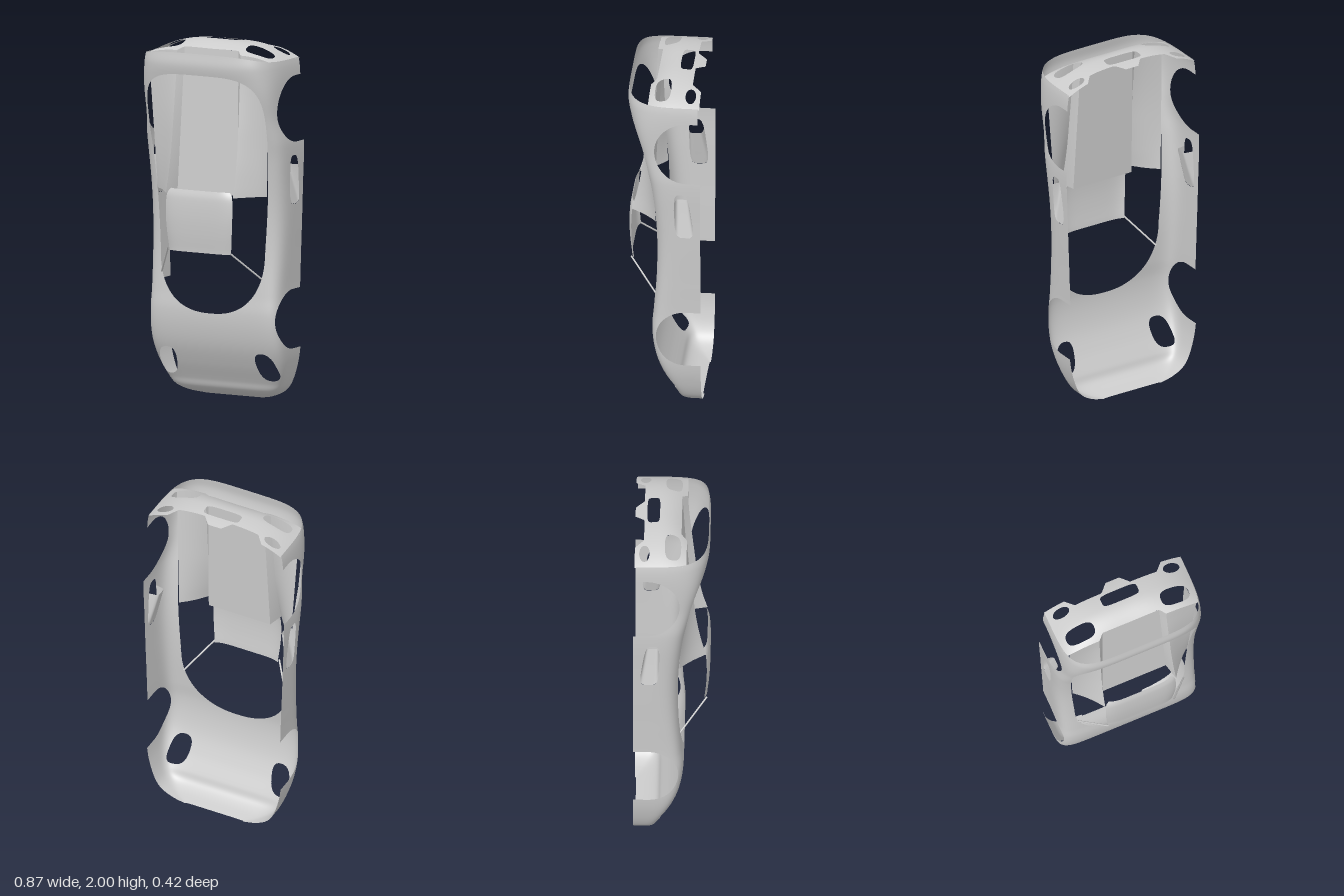
import * as THREE from 'three';
import { mergeVertices } from 'three/addons/utils/BufferGeometryUtils.js';

const material = new THREE.MeshStandardMaterial({ color: 0xcccccc, side: THREE.DoubleSide });

// Smooth curve through [position, value] pairs
function curve(pts) {
  const slope = pts.map((p, i) => {
    const a = pts[Math.max(i - 1, 0)], b = pts[Math.min(i + 1, pts.length - 1)];
    return (b[1] - a[1]) / (b[0] - a[0]);
  });
  return (t) => {
    let i = 0;
    while (i < pts.length - 2 && t > pts[i + 1][0]) i++;
    const [a, va] = pts[i], [b, vb] = pts[i + 1];
    const h = b - a, s = Math.min(Math.max((t - a) / h, 0), 1);
    const s2 = s * s, s3 = s2 * s;
    return va * (2 * s3 - 3 * s2 + 1) + vb * (3 * s2 - 2 * s3)
      + h * (slope[i] * (s3 - 2 * s2 + s) + slope[i + 1] * (s3 - s2));
  };
}

// Cut a polygon to the side where keep(x, y, z) is positive
function cut(poly, keep) {
  const out = [];
  poly.forEach((a, i) => {
    const b = poly[(i + 1) % poly.length];
    const fa = keep(...a), fb = keep(...b);
    if (fa >= 0) out.push(a);
    if ((fa >= 0) !== (fb >= 0)) {
      const t = fa / (fa - fb);
      out.push(a.map((c, k) => c + (b[k] - c) * t));
    }
  });
  return out;
}

// Curved sheet from point(u, v), trimmed by a list of keep functions
function sheet(name, point, nu, nv, keeps = []) {
  const pos = [];
  for (let i = 0; i < nu; i++) {
    for (let j = 0; j < nv; j++) {
      const [a, b, c, d] = [[i, j], [i + 1, j], [i + 1, j + 1], [i, j + 1]]
        .map(([p, q]) => point(p / nu, q / nv));
      for (const tri of [[a, b, c], [a, c, d]]) {
        let poly = tri;
        for (const k of keeps) poly = cut(poly, k);
        for (let n = 1; n < poly.length - 1; n++) pos.push(...poly[0], ...poly[n], ...poly[n + 1]);
      }
    }
  }
  let geo = new THREE.BufferGeometry();
  geo.setAttribute('position', new THREE.Float32BufferAttribute(pos, 3));
  geo = mergeVertices(geo, 1e-5);
  geo.computeVertexNormals();
  const mesh = new THREE.Mesh(geo, material);
  mesh.name = name;
  return mesh;
}

// Rounded outline: negative inside, positive outside
const oval = (dx, dy, rx, ry, n) => Math.abs(dx / rx) ** n + Math.abs(dy / ry) ** n - 1;

const BASE = -0.208;
const halfWidth = curve([[0, 0.18], [0.015, 0.25], [0.05, 0.32], [0.1, 0.36], [0.2, 0.395], [0.3, 0.412],
  [0.4, 0.415], [0.6, 0.41], [0.8, 0.415], [1, 0.422], [1.2, 0.428], [1.44, 0.434], [1.6, 0.418],
  [1.8, 0.42], [1.88, 0.415], [1.95, 0.4]]);
const topLine = curve([[0, -0.2], [0.02, -0.135], [0.05, -0.085], [0.1, -0.06], [0.2, -0.005], [0.3, 0.038],
  [0.4, 0.062], [0.5, 0.07], [0.6, 0.062], [0.8, 0.05], [1, 0.05], [1.2, 0.06], [1.4, 0.085],
  [1.6, 0.135], [1.8, 0.195], [1.88, 0.212], [1.95, 0.205]]);
const squareness = curve([[0, 7], [0.45, 9], [1, 6], [1.35, 6.5], [1.64, 7], [1.85, 5], [1.95, 5]]);
const sideAt = (y, z) => {
  const f = Math.min(Math.max((z - BASE) / (topLine(y) - BASE), 0), 1), n = squareness(y);
  return halfWidth(y) * (1 - f ** n) ** (1 / n);
};

// Length position of the tail face at height z, s = -1..1 across
const tailAt = (s, z) => {
  const drop = z > -0.06 ? 0.05 * ((z + 0.06) / 0.13) ** 2 : 0.02 * ((z + 0.06) / 0.14) ** 2;
  return 2 - 0.09 * Math.abs(s) ** 3 - drop * (1 - s * s);
};

// Wheel arch: round above the axle, straight below
const arch = (yc, zc, r) => (x, y, z) => Math.hypot(y - yc, Math.max(z - zc, 0)) - r;

// Cabin and engine opening seen from the front
function cabin(x, y, z) {
  if (z < -0.05) return 1;
  if (y < 0.85) return oval(x, y - 0.85, 0.33, 0.36, 2.4);
  if (y < 1.5) return Math.abs(x) / (0.33 + 0.04 * (y - 0.85) / 0.65) - 1;
  return oval(x, y - 1.5, 0.37, 0.33, 4);
}
const headlight = (x, y) =>
  oval(Math.abs(x) - 0.31 + 0.15 * (y - 0.2), y - 0.2, 0.058, 0.08, 2.6);

// Side scoop outline, wider towards the front
const scoopMid = (y) => -0.111 + 0.09 * (y - 1.245);
const scoopHalf = (y) => 0.047 - 0.05 * (y - 1.245);
const scoop = (x, y, z) => oval(z - scoopMid(y), y - 1.245, scoopHalf(y), 0.137, 4);

function createModel() {
  const car = new THREE.Group();
  car.name = 'carBody';

  // Outer shell: hood, flanks and rear hoop in one skin
  car.add(sheet('bodyShell', (u, v) => {
    const a = (u - 0.5) * Math.PI, y = 1.95 * v ** 1.15, n = squareness(y);
    const s = Math.sin(a), c = Math.max(Math.cos(a), 0);
    const r = (Math.abs(s) ** n + c ** n) ** (-1 / n);
    return [halfWidth(y) * r * s, y, BASE + (topLine(y) - BASE) * r * c];
  }, 120, 200, [
    cabin, headlight, scoop,
    arch(0.467, -0.125, 0.165), arch(1.637, -0.135, 0.183),
    (x, y) => 1.95 - 0.04 * (Math.abs(x) / 0.42) ** 4 - y,
    (x, y, z) => z - (y > 1.637 ? -0.193 : BASE - 0.01),
  ]));

  // Tail face with light, plate and exhaust cut-outs
  car.add(sheet('tailPanel', (u, v) => {
    const s = 2 * u - 1, z = -0.2 + 0.285 * v;
    return [s * sideAt(1.91, z), tailAt(s, z), z];
  }, 110, 40, [
    (x, y, z) => oval(Math.abs(x) - 0.283, z - 0.01, 0.083, 0.045, 3),
    (x, y, z) => oval(Math.abs(x) - 0.33, z + 0.147, 0.048, 0.029, 2),
    (x, y, z) => oval(x, z + 0.1, 0.109, 0.035, 5),
    (x, y, z) => { // exhaust notches beside a centre lip
      const a = Math.abs(x);
      return z - Math.min(-0.15, -0.195 + (a - 0.045) * 1.12, -0.2 + (0.29 - a) * 1.11);
    },
    (x, y, z) => Math.min(0.085, Math.max(0.055, 0.055 + Math.abs(x) - 0.17)) - z,
  ]));

  // Roof panel with turned-down edges
  const roofHalf = curve([[0.85, 0.195], [1, 0.208], [1.1, 0.21], [1.17, 0.203], [1.19, 0.185]]);
  const roofTop = curve([[0.85, 0.198], [0.95, 0.208], [1.05, 0.212], [1.15, 0.207], [1.19, 0.196]]);
  car.add(sheet('roof', (u, v) => {
    const s = 2 * u - 1, y = 0.845 + 0.345 * v;
    return [s * roofHalf(y), y, roofTop(y) - 0.018 * s ** 6];
  }, 32, 24));

  // Engine deck: sunken centre between two buttresses, running back to the tail face
  const ridge = curve([[0, 0.192], [0.12, 0.165], [0.31, 0.137], [0.5, 0.12], [0.85, 0.092], [1, 0.085]]);
  const deckRows = (t) => [
    [0.19 - 0.02 * t, 0.1 - 0.045 * t],
    [0.212 - 0.012 * t, ridge(t)],
    [0.345 + 0.035 * t, 0.045 + 0.04 * t],
  ];
  const tailHalf = sideAt(1.91, 0.07);
  const deckY = (x, z, v) => 1.162 + (tailAt(x / tailHalf, z) - 1.162) * v;
  car.add(sheet('engineDeck', (u, v) => {
    const [[half]] = deckRows(v), z = deckRows(v)[0][1], x = (2 * u - 1) * half;
    return [x, deckY(x, 0.055, v), z];
  }, 12, 30));

  for (const side of [1, -1]) {
    const prefix = side > 0 ? 'left' : 'right';

    // Inner wall and outer slope of each buttress
    ['ButtressWall', 'ButtressSlope'].forEach((name, k) => {
      car.add(sheet(prefix + name, (u, v) => {
        const rows = deckRows(v), end = deckRows(1);
        const mix = (set, c) => set[k][c] + (set[k + 1][c] - set[k][c]) * u;
        const x = mix(rows, 0);
        const sag = k * 0.012 * Math.sin(u * Math.PI) * (1 - v);
        return [side * x, deckY(x, mix(end, 1), v), mix(rows, 1) - sag];
      }, 10, 30));
    });

    // Air scoop ramp sinking into the flank
    car.add(sheet(prefix + 'ScoopRamp', (u, v) => {
      const s = 2 * u - 1, y = 1.11 + 0.215 * v;
      const half = scoopHalf(y) * Math.max(1 - Math.abs((y - 1.245) / 0.137) ** 4, 0) ** 0.25;
      const z = scoopMid(y) + s * half;
      return [side * (sideAt(y, z) - 0.055 * v * (1 - s ** 8)), y, z];
    }, 16, 16));

    // Windscreen pillar
    const pillar = new THREE.Mesh(new THREE.TubeGeometry(new THREE.LineCurve3(
      new THREE.Vector3(side * 0.197, 0.855, 0.195), new THREE.Vector3(side * 0.318, 0.7, 0.05)), 4, 0.005, 8), material);
    pillar.name = prefix + 'WindscreenPillar';
    car.add(pillar);
  }
  return car;
}

export { createModel };
